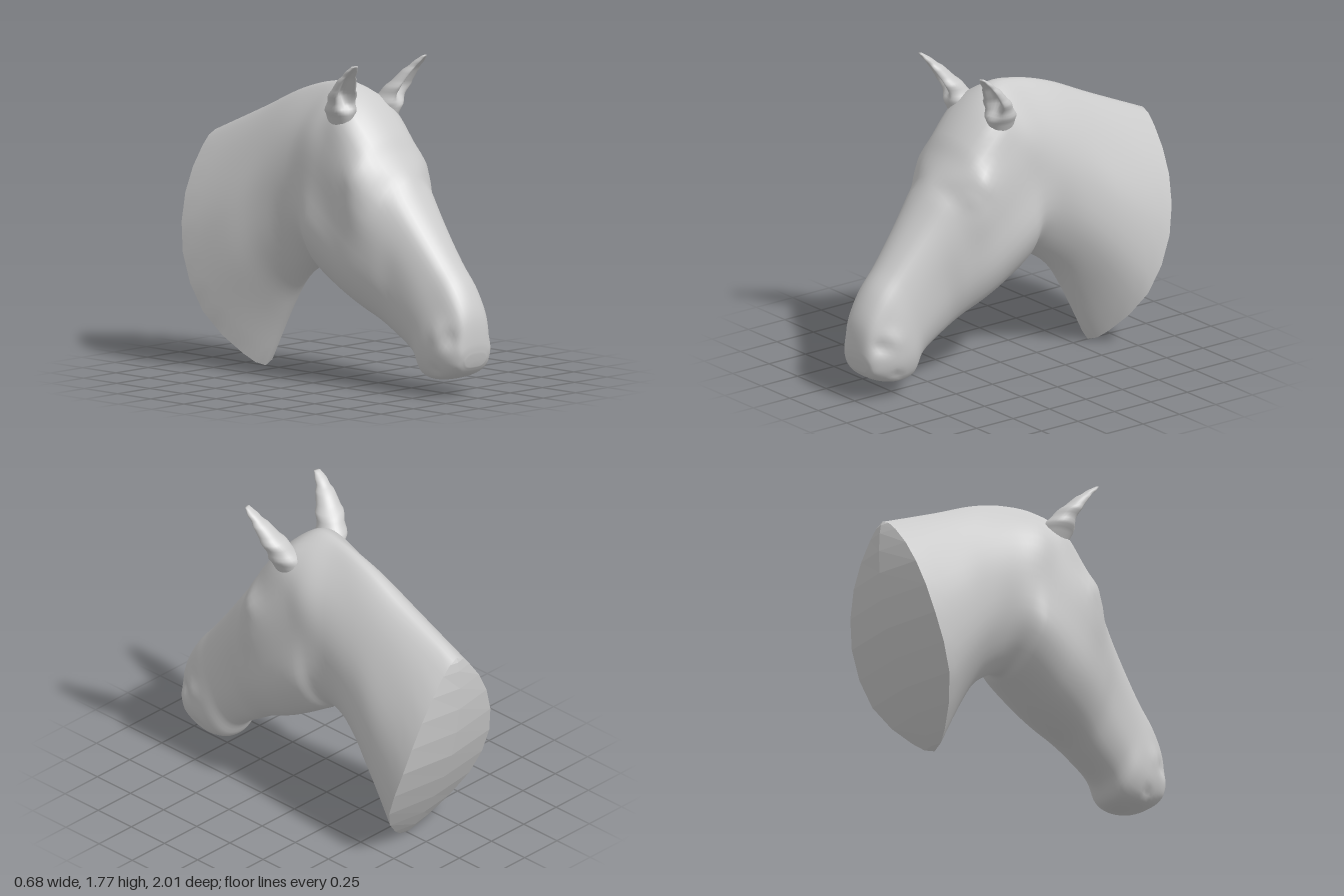
import * as THREE from 'three';

const material = new THREE.MeshStandardMaterial({ color: 0xcccccc });
const flatMaterial = new THREE.MeshStandardMaterial({ color: 0xcccccc, flatShading: true });
const SEG = 48; // points per body ring
const FACET = 2; // ring points per facet of the neck cut
const V = (x, y, z) => new THREE.Vector3(x, y, z);

// Skin a list of closed rings, closing the last one with a fan
function loft(rings) {
  const n = rings[0].length, last = (rings.length - 1) * n, index = [];
  const centre = rings.at(-1).reduce((s, p) => s.add(p), V(0, 0, 0)).divideScalar(n);
  for (let i = 0; i < rings.length - 1; i++) {
    for (let j = 0; j < n; j++) {
      const k = (j + 1) % n, a = i * n + j, b = i * n + k;
      index.push(a, a + n, b, b, a + n, b + n);
    }
  }
  for (let j = 0; j < n; j++) index.push(last + n, last + (j + 1) % n, last + j);
  const geometry = new THREE.BufferGeometry().setFromPoints([...rings.flat(), centre]);
  geometry.setIndex(index);
  geometry.computeVertexNormals();
  return geometry;
}

// Sections from neck cut to nose:
// top y, top z, bottom y, bottom z, then five half widths from top to bottom
const LEVELS = [0.06, 0.25, 0.5, 0.75, 0.94];
const SECTIONS = [
  [1.25, -0.98, 0.00, -0.60, 0.10, 0.25, 0.335, 0.31, 0.13],
  [1.42, -0.60, 0.28, -0.46, 0.09, 0.21, 0.30, 0.28, 0.12],
  [1.55, -0.32, 0.46, -0.35, 0.08, 0.19, 0.26, 0.245, 0.12],
  [1.615, -0.10, 0.57, -0.22, 0.08, 0.20, 0.25, 0.22, 0.11],
  [1.625, 0.06, 0.605, -0.13, 0.12, 0.235, 0.26, 0.245, 0.12],
  [1.55, 0.18, 0.575, -0.07, 0.19, 0.25, 0.27, 0.28, 0.16],
  [1.38, 0.335, 0.46, 0.12, 0.19, 0.28, 0.285, 0.27, 0.16],
  [1.27, 0.405, 0.40, 0.24, 0.17, 0.28, 0.28, 0.255, 0.15],
  [1.14, 0.50, 0.345, 0.36, 0.14, 0.225, 0.245, 0.22, 0.13],
  [0.96, 0.63, 0.29, 0.45, 0.12, 0.185, 0.20, 0.18, 0.11],
  [0.74, 0.80, 0.19, 0.60, 0.10, 0.155, 0.18, 0.165, 0.10],
  [0.60, 0.915, 0.09, 0.67, 0.10, 0.15, 0.18, 0.17, 0.11],
  [0.45, 0.985, 0.085, 0.81, 0.09, 0.135, 0.165, 0.155, 0.115],
  [0.30, 1.00, 0.13, 0.94, 0.07, 0.11, 0.12, 0.115, 0.08],
  [0.24, 0.995, 0.17, 0.975, 0.05, 0.07, 0.08, 0.07, 0.05],
];

// Soft bumps and dents on both sides: y, z, radius, height
const DETAILS = [
  [1.18, 0.34, 0.08, 0.03],    // brow
  [1.09, 0.40, 0.04, 0.012],   // eye
  [1.12, 0.48, 0.05, -0.02],   // hollow before the eye
  [0.33, 0.92, 0.04, -0.022],  // nostril
  [0.36, 0.86, 0.05, 0.012],   // nostril rim
  [0.15, 0.82, 0.025, -0.015], // mouth corner
];

// Control points of one section; sections bow backward, fading toward the face
function sectionPoints([ty, tz, by, bz, ...widths], i) {
  const bow = 0.11 * Math.max(0, 1 - i / 8);
  const at = (t, x) => V(x, ty + (by - ty) * t, tz + (bz - tz) * t - bow * Math.sin(Math.PI * t));
  return [
    at(0, 0), ...LEVELS.map((t, k) => at(t, widths[k])),
    at(1, 0), ...LEVELS.map((t, k) => at(t, -widths[k])).reverse(),
  ];
}

function bodyRings() {
  const controls = SECTIONS.map(sectionPoints);
  const tracks = controls[0].map((_, j) => new THREE.CatmullRomCurve3(controls.map(c => c[j])));
  const count = (SECTIONS.length - 1) * 5, rings = [];
  for (let i = 0; i <= count; i++) {
    const curve = new THREE.CatmullRomCurve3(tracks.map(t => t.getPoint(i / count)), true);
    const ring = [];
    for (let j = 0; j < SEG; j++) {
      const p = curve.getPoint(j / SEG);
      for (const [y, z, r, h] of DETAILS) {
        const d = ((p.y - y) ** 2 + (p.z - z) ** 2) / (r * r);
        p.x += Math.sign(p.x) * Math.min(1, Math.abs(p.x) / 0.08) * h * Math.exp(-d);
      }
      ring.push(p);
    }
    rings.push(ring);
  }
  // Straight edges round the neck cut
  const rim = rings[0];
  for (let j = 0; j < SEG; j++) {
    const k = j - j % FACET;
    rim[j].lerpVectors(rim[k], rim[(k + FACET) % SEG], (j % FACET) / FACET);
  }
  return rings;
}

// Faceted end of the neck with a raised centre ridge
function neckCap(rim) {
  const points = [];
  const centre = j => {
    const p = rim[j].clone().setX(0);
    p.z -= 0.045 * Math.sin(Math.PI * j * 2 / SEG);
    return p;
  };
  for (let j = 0; j < SEG / 2; j += FACET) {
    const k = j + FACET, c = centre(j), d = centre(k);
    points.push(rim[j], rim[k], d, rim[j], d, c);
    const l = rim[(SEG - j) % SEG], m = rim[SEG - k];
    points.push(c, d, m, c, m, l);
  }
  const geometry = new THREE.BufferGeometry().setFromPoints(points);
  geometry.computeVertexNormals();
  return geometry;
}

// Ear sections: x, y, z, half width, half depth, cupping of the front
const EAR = [
  [0.15, 1.40, 0.12, 0.06, 0.08, 0],
  [0.175, 1.48, 0.135, 0.075, 0.09, 0],
  [0.20, 1.55, 0.165, 0.075, 0.08, 0.5],
  [0.228, 1.62, 0.21, 0.069, 0.064, 1],
  [0.25, 1.69, 0.26, 0.052, 0.048, 1],
  [0.265, 1.74, 0.305, 0.034, 0.03, 0.6],
  [0.27, 1.772, 0.335, 0.018, 0.01, 0],
];

function ear(side) {
  const path = new THREE.CatmullRomCurve3(EAR.map(([x, y, z]) => V(x, y, z)));
  const shape = new THREE.CatmullRomCurve3(EAR.map(e => V(e[3], e[4], e[5])));
  const turn = 0.3, rings = [], steps = 24, n = 32;
  for (let i = 0; i <= steps; i++) {
    const c = path.getPoint(i / steps), s = shape.getPoint(i / steps), ring = [];
    for (let j = 0; j < n; j++) {
      const a = j / n * Math.PI * 2, sin = Math.sin(a);
      const x = s.x * Math.cos(a);
      const z = s.y * sin * (sin > 0 ? 1 - 1.5 * s.z * sin ** 4 : 1);
      ring.push(V(
        side * (c.x + x * Math.cos(turn) + z * Math.sin(turn)), c.y,
        c.z - x * Math.sin(turn) + z * Math.cos(turn)));
    }
    rings.push(side > 0 ? ring : ring.reverse());
  }
  return loft(rings);
}

export function createModel() {
  const group = new THREE.Group();
  const add = (name, geometry, mat = material) => {
    const mesh = new THREE.Mesh(geometry, mat);
    mesh.name = name;
    group.add(mesh);
  };
  const rings = bodyRings();
  add('headAndNeck', loft(rings));
  add('neckCap', neckCap(rings[0]), flatMaterial);
  add('leftEar', ear(1));
  add('rightEar', ear(-1));
  return group;
}
